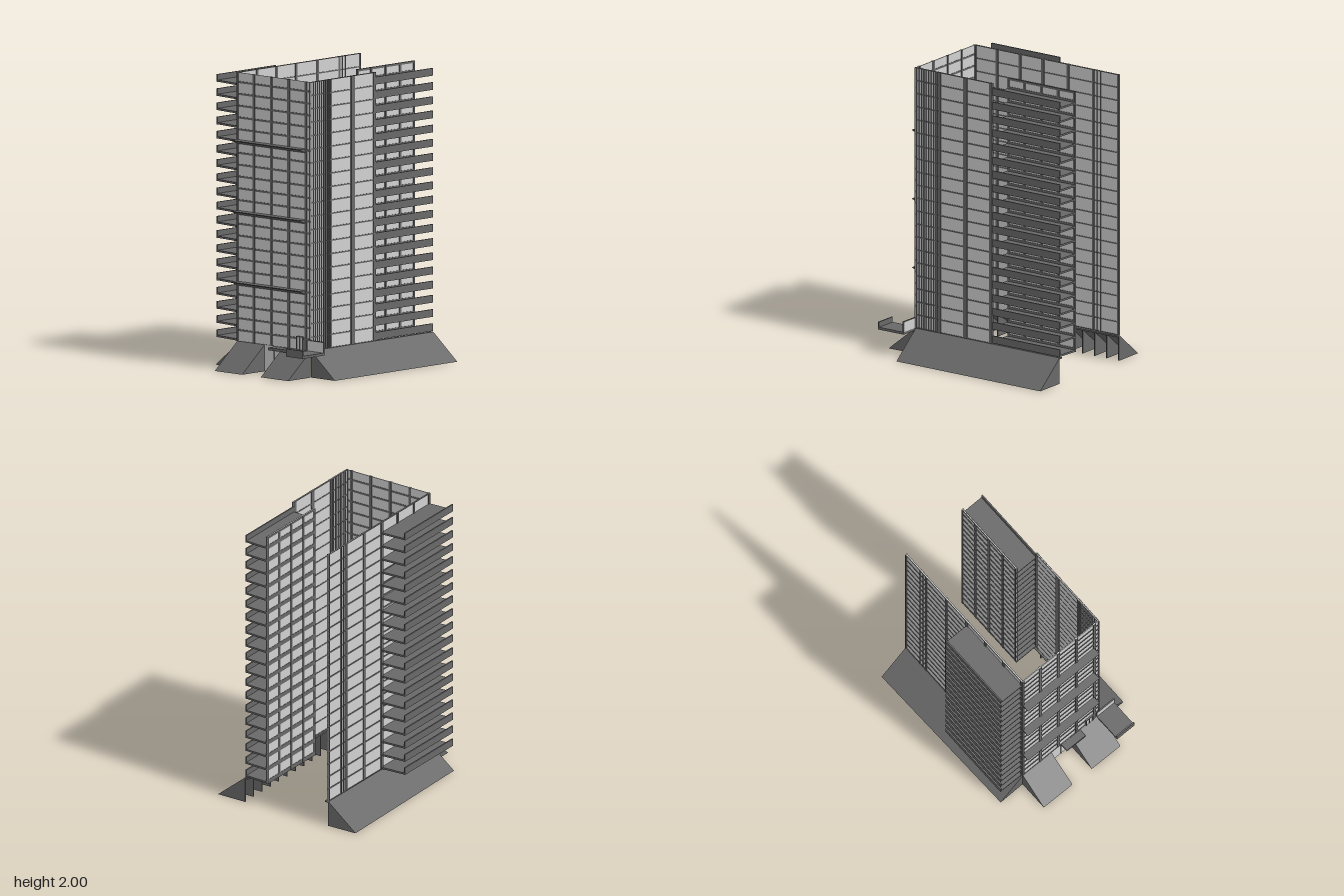
import * as THREE from 'three';

const glass = new THREE.MeshStandardMaterial({ color: 0xd0d0d0, side: THREE.DoubleSide });
glass.name = 'pale glass';
const concrete = new THREE.MeshStandardMaterial({ color: 0x686868, side: THREE.DoubleSide });
concrete.name = 'grey concrete';

const BASE = 0.18, TOP = 2;
const series = (start, step, n) => Array.from({ length: n }, (_, i) => start + i * step);

// Box given by its minimum and maximum corners
function box(parent, name, mat, x0, x1, y0, y1, z0, z1) {
  const m = new THREE.Mesh(new THREE.BoxGeometry(x1 - x0, y1 - y0, z1 - z0), mat);
  m.position.set((x0 + x1) / 2, (y0 + y1) / 2, (z0 + z1) / 2);
  m.name = name;
  parent.add(m);
  return m;
}

// Extruded outline in x/y, running from z0 to z1
function prism(parent, name, pts, z0, z1) {
  const shape = new THREE.Shape(pts.map(p => new THREE.Vector2(...p)));
  const geo = new THREE.ExtrudeGeometry(shape, { depth: z1 - z0, bevelEnabled: false });
  geo.translate(0, 0, z0);
  const m = new THREE.Mesh(geo, concrete);
  m.name = name;
  parent.add(m);
  return m;
}

// Curtain wall facing local +z: a glass sheet with upright and level bars
function curtainWall(name, x0, x1, uprights, levels, levelSize) {
  const g = new THREE.Group();
  g.name = name;
  box(g, 'glazing', glass, x0, x1, BASE, TOP, -0.004, 0.002);
  for (const [x, w] of uprights) {
    box(g, 'mullion', concrete, Math.max(x0, x - w / 2), Math.min(x1, x + w / 2), BASE, TOP, -0.008, 0.008);
  }
  for (const y of levels) {
    box(g, 'transom', concrete, x0, x1, Math.max(BASE, y - levelSize / 2), Math.min(TOP, y + levelSize / 2), -0.006, 0.006);
  }
  return g;
}

// Sloped skirt plate on triangular ribs, leaning towards local sign * x
function skirt(name, sign, z0, z1, ribs) {
  const g = new THREE.Group();
  g.name = name;
  const side = pts => pts.map(([x, y]) => [sign * x, y]);
  prism(g, 'slopedPlate', side([[-0.025, BASE], [0, BASE], [0.22, 0], [0.205, 0], [-0.004, 0.17], [-0.025, 0.17]]), z0, z1);
  const tri = side([[0, 0.174], [0.212, 0], [0, 0]]);
  for (let i = 0; i < ribs; i++) {
    const z = z0 + (z1 - z0 - 0.008) * i / (ribs - 1);
    prism(g, 'rib', tri, z, z + 0.008);
  }
  return g;
}

// Stack of balconies: tapered slab from the wall to a parapet
function balconies(name, wallX, edgeX, z0, z1) {
  const g = new THREE.Group();
  g.name = name;
  const s = Math.sign(edgeX - wallX);
  for (const y of series(0.19, 0.0961, 19)) {
    prism(g, 'balconySlab', [[wallX, y + 0.004], [edgeX, y + 0.009], [edgeX, y - 0.003], [wallX, y - 0.009]], z0, z1);
    box(g, 'parapet', concrete, Math.min(edgeX, edgeX - s * 0.01), Math.max(edgeX, edgeX - s * 0.01),
      y - 0.004, y + 0.047, z0, z1);
  }
  return g;
}

export function createModel() {
  const model = new THREE.Group();
  model.name = 'towerBlock';

  // Front wall
  const front = curtainWall('frontWall', -0.34, 0.335,
    [[-0.335, 0.016], [-0.185, 0.02], [-0.025, 0.02], [0.135, 0.02], [0.292, 0.018], [0.33, 0.008]],
    series(0.175, 0.08, 23), 0.013);
  front.position.z = 0.488;
  model.add(front);

  // Wedge ledges across the front
  for (const y of [0.585, 1.065, 1.545]) {
    const ledge = prism(model, 'frontLedge', [[0, y], [0.058, y], [0.058, y - 0.004], [0, y - 0.028]], -0.29, 0.34);
    ledge.rotation.y = -Math.PI / 2;
    ledge.position.z = 0.49;
  }

  // Side wall on +x, with closely spaced mullions near the front corner
  const floors = series(BASE, 0.091, 21);
  const closeBars = [0.46, 0.44, 0.42, 0.4, 0.38, 0.36, 0.34, 0.32, 0.305].map(z => [-z, 0.005]);
  const left = curtainWall('leftWall', -0.488, 0.15,
    [[-0.485, 0.01], ...closeBars, [-0.288, 0.016], [-0.075, 0.036], [0.137, 0.026]], floors, 0.009);
  left.rotation.y = Math.PI / 2;
  left.position.x = 0.328;
  model.add(left);

  // Recessed wall behind the +x balconies
  const recess = curtainWall('recessedWall', 0.15, 0.71,
    [[0.155, 0.018], [0.288, 0.018], [0.43, 0.018], [0.57, 0.018], [0.704, 0.014]],
    [...series(0.195, 0.0961, 19), TOP], 0.03);
  recess.rotation.y = Math.PI / 2;
  recess.position.x = 0.156;
  model.add(recess);
  model.add(balconies('leftBalconies', 0.15, 0.333, -0.71, -0.145));

  // Side wall and balconies on -x
  const right = curtainWall('rightWall', -0.71, 0.488,
    [[-0.705, 0.01], [-0.56, 0.006], [-0.53, 0.006], [-0.5, 0.016], [-0.29, 0.02], [-0.08, 0.024],
      [0.11, 0.02], [0.3, 0.02], [0.48, 0.016]], floors, 0.009);
  right.rotation.y = -Math.PI / 2;
  right.position.x = -0.34;
  model.add(right);
  model.add(balconies('rightBalconies', -0.34, -0.533, -0.08, 0.488));

  // Sloped base along both sides and either side of the entrance
  const leftSkirt = skirt('leftSkirt', 1, -0.71, 0.485, 13);
  leftSkirt.position.x = 0.334;
  const rightSkirt = skirt('rightSkirt', -1, -0.6, 0.6, 13);
  rightSkirt.position.set(-0.328, 0, -0.11);
  rightSkirt.rotation.y = 0.02;
  model.add(leftSkirt, rightSkirt);
  for (const [x0, x1] of [[-0.34, -0.088], [0.083, 0.335]]) {
    const s = skirt('frontSkirt', 1, -x1, -x0, 4);
    s.rotation.y = -Math.PI / 2;
    s.position.z = 0.49;
    model.add(s);
  }

  // Entrance doors and canopy
  box(model, 'entranceDoorRight', glass, -0.088, -0.003, 0, BASE, 0.484, 0.49);
  box(model, 'entranceDoorLeft', glass, 0.001, 0.083, 0, BASE, 0.484, 0.49);
  box(model, 'doorJoint', concrete, -0.003, 0.001, 0, BASE, 0.484, 0.492);
  box(model, 'entranceCanopy', concrete, 0, 0.165, 0.158, 0.176, 0.49, 0.55);

  // Terrace door frames
  for (const x of [0.215, 0.243, 0.271]) box(model, 'terraceFrame', concrete, x - 0.003, x + 0.003, BASE, 0.27, 0.49, 0.502);
  box(model, 'terraceFrameTop', concrete, 0.212, 0.274, 0.264, 0.27, 0.49, 0.502);
  box(model, 'terraceDoor', glass, 0.215, 0.271, BASE, 0.264, 0.492, 0.498);

  // Corner terrace with parapet and glazed back
  const terrace = new THREE.Group();
  terrace.name = 'cornerTerrace';
  box(terrace, 'terraceFloor', concrete, 0.31, 0.463, 0.163, 0.18, 0.492, 0.705);
  box(terrace, 'terraceParapet', concrete, 0.31, 0.463, 0.163, 0.216, 0.695, 0.705);
  box(terrace, 'terraceGlass', glass, 0.314, 0.459, 0.18, 0.248, 0.492, 0.498);
  box(terrace, 'terraceGlassRail', concrete, 0.31, 0.463, 0.248, 0.254, 0.49, 0.5);
  for (const x of [0.31, 0.459]) box(terrace, 'terraceGlassPost', concrete, x, x + 0.004, 0.18, 0.25, 0.49, 0.5);
  model.add(terrace);

  return model;
}
